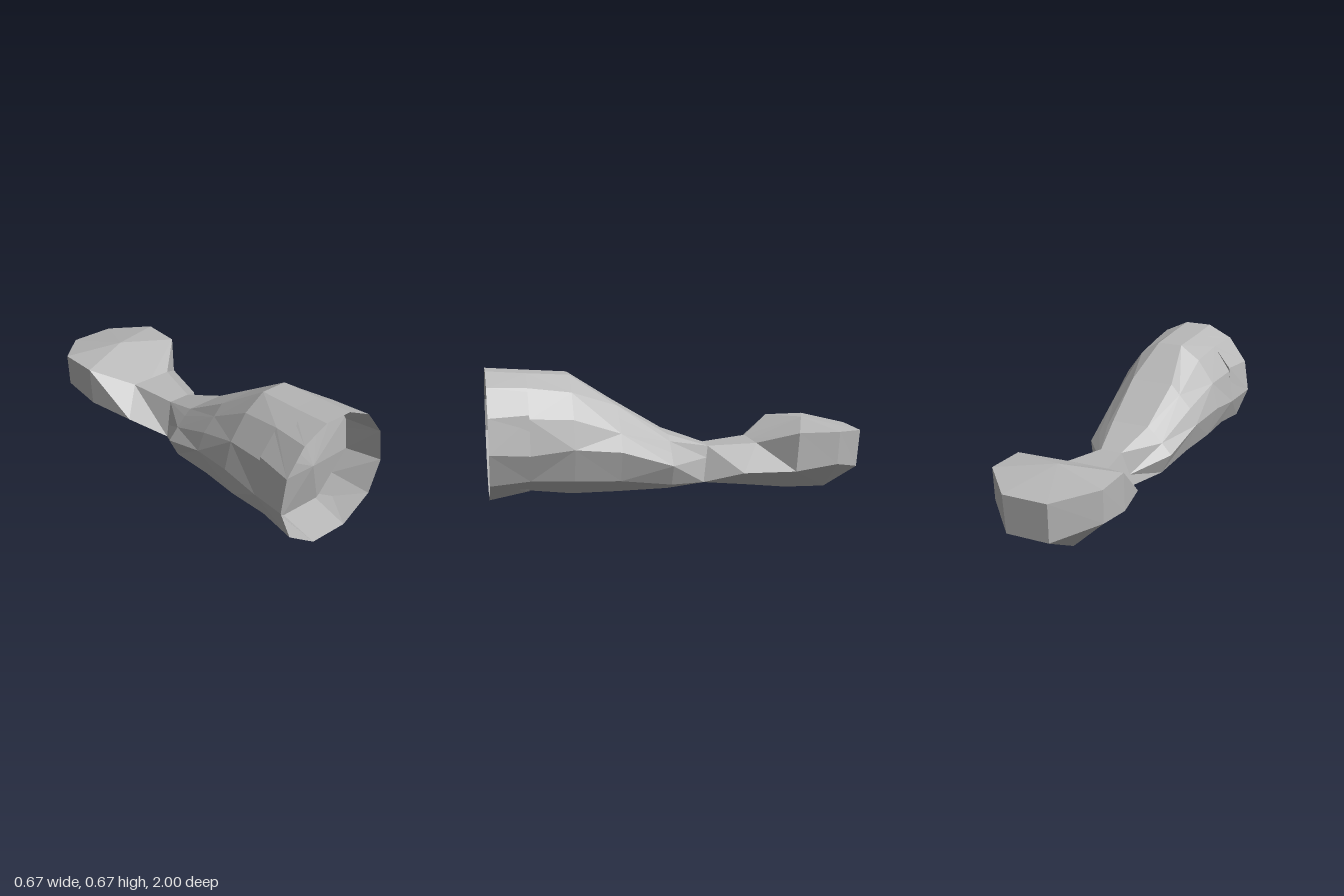
import * as THREE from 'three';

// Mirrors the [x, y, z] points of one side across x = 0 into a closed loop.
function mirrorLoop(half) {
  const left = half.map(([x, y, z]) => [-x, y, z]).reverse();
  return [...half, ...left].map((p) => new THREE.Vector3(...p));
}

// Closed 12-point cross-section from x, y pairs, top to bottom on +x; zAt gives z by height.
function ring(zAt, pairs) {
  const half = [];
  for (let i = 0; i < pairs.length; i += 2) half.push([pairs[i], pairs[i + 1], zAt(pairs[i + 1])]);
  const loop = mirrorLoop(half);
  return [...loop, loop[0]];
}

const at = (z) => () => z;

// Flat-faced skin over consecutive loops; collapsed triangles are dropped.
function loft(name, rings, material, alternate) {
  const pos = [];
  const tri = (a, b, c) => {
    if (a.equals(b) || b.equals(c) || a.equals(c)) return;
    for (const v of [a, b, c]) pos.push(v.x, v.y, v.z);
  };
  for (let i = 0; i + 1 < rings.length; i++) {
    const p = rings[i], q = rings[i + 1];
    for (let k = 0; k + 1 < p.length; k++) {
      if (alternate && (i + k) % 2) {
        tri(p[k], p[k + 1], q[k + 1]);
        tri(p[k], q[k + 1], q[k]);
      } else {
        tri(p[k], p[k + 1], q[k]);
        tri(p[k + 1], q[k + 1], q[k]);
      }
    }
  }
  const geometry = new THREE.BufferGeometry();
  geometry.setAttribute('position', new THREE.Float32BufferAttribute(pos, 3));
  geometry.computeVertexNormals();
  const mesh = new THREE.Mesh(geometry, material);
  mesh.name = name;
  return mesh;
}

export function createModel() {
  const grey = new THREE.MeshStandardMaterial({ color: 0xb8b8b8, flatShading: true, side: THREE.DoubleSide });
  grey.name = 'plain grey';
  const group = new THREE.Group();
  group.name = 'limb';

  // Recessed front end: a shallow cone set inside the rim
  const rim = ring(at(1), [0.075, 0.675, 0.21, 0.61, 0.31, 0.475, 0.337, 0.3, 0.27, 0.13, 0.105, 0.018]);
  const inner = ring(at(0.8), [0.08, 0.655, 0.2, 0.585, 0.285, 0.48, 0.308, 0.275, 0.215, 0.168, 0.12, 0.058]);
  const centre = inner.map(() => new THREE.Vector3(0, 0.34, 0.87));
  group.add(loft('socket', [centre, inner, rim], grey, false));

  // Thick upper part, tapering to a leaning four-sided neck
  const neckZ = (y) => -0.12 - 0.19 * (y - 0.055);
  group.add(loft('upperLimb', [
    rim,
    ring(at(0.8), [0.075, 0.66, 0.19, 0.6, 0.285, 0.46, 0.312, 0.28, 0.25, 0.14, 0.11, 0.06]),
    ring(at(0.58), [0.07, 0.645, 0.18, 0.57, 0.27, 0.445, 0.305, 0.3, 0.25, 0.13, 0.1, 0.03]),
    ring(at(0.34), [0.12, 0.485, 0.17, 0.43, 0.235, 0.36, 0.275, 0.27, 0.22, 0.11, 0.1, 0.028]),
    ring(at(0.07), [0.105, 0.32, 0.14, 0.29, 0.19, 0.24, 0.245, 0.18, 0.19, 0.07, 0.08, 0.025]),
    ring(neckZ, [0.06, 0.24, 0.06, 0.24, 0.078, 0.18, 0.097, 0.115, 0.115, 0.055, 0.115, 0.055]),
  ], grey, true));

  // End knob: lengthwise outlines from the neck to the back, stacked from bottom to top
  const bottom = [[0.115, 0.055, -0.12], [0.12, 0.032, -0.35], [0.13, 0.009, -0.57], [0.13, 0.003, -0.79], [0.115, 0.1, -0.985]];
  const lower = [[0.115, 0.055, -0.12], [0.232, 0.12, -0.31], [0.293, 0.13, -0.575], [0.298, 0.16, -0.8], [0.115, 0.1, -0.985]];
  const upper = [[0.06, 0.24, -0.155], [0.115, 0.255, -0.41], [0.294, 0.334, -0.59], [0.3, 0.333, -0.81], [0.12, 0.302, -1]];
  const apex = [0, 0.367, -0.7];
  const top = [[0, 0.24, -0.155], [0, 0.255, -0.41], apex, apex, apex];
  const keel = bottom.map(([, y, z]) => [0, y, z]);
  group.add(loft('endKnob', [keel, bottom, lower, upper, top].map(mirrorLoop), grey, false));

  return group;
}
